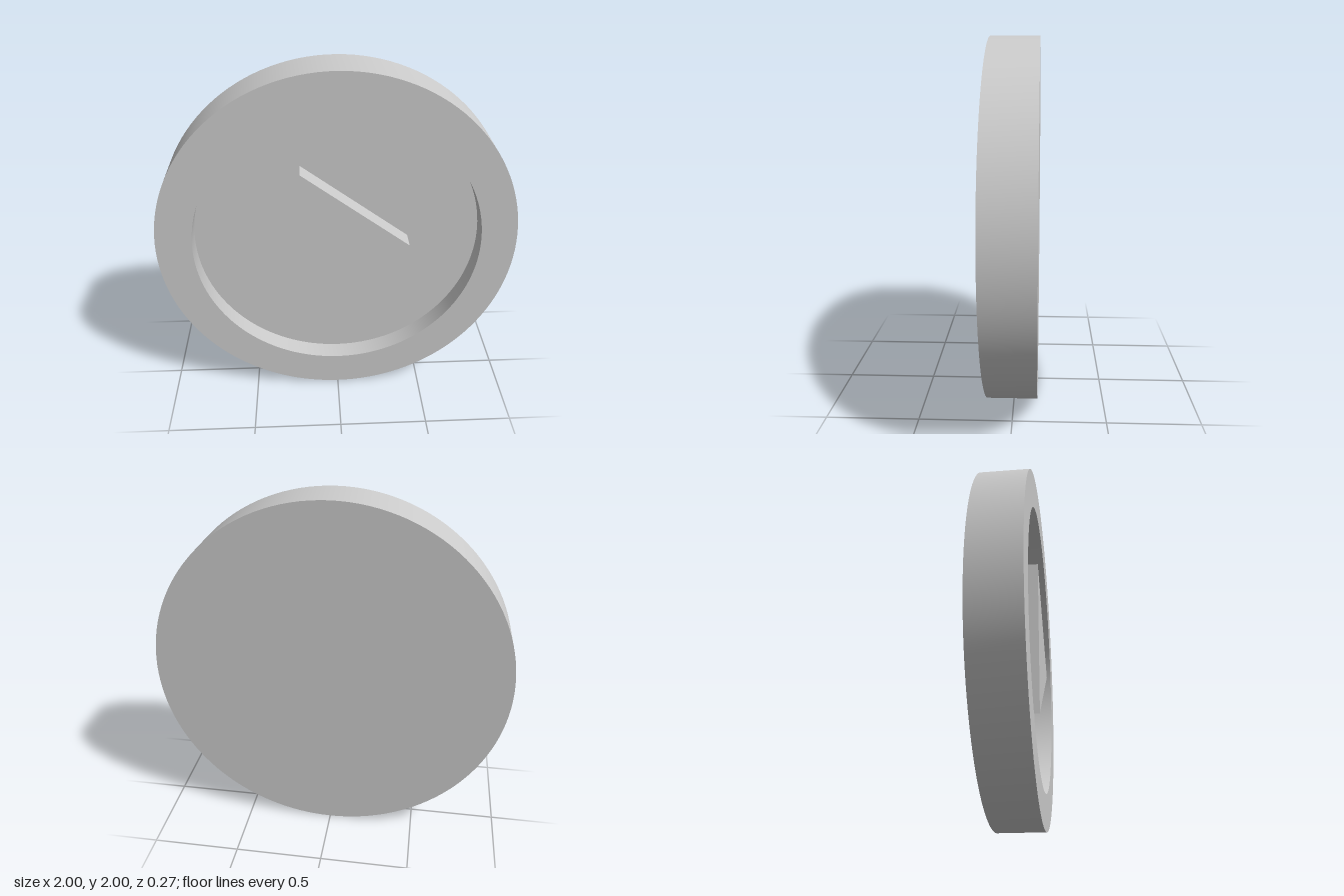
import * as THREE from 'three';
import { toCreasedNormals } from 'three/addons/utils/BufferGeometryUtils.js';

const HALF = 0.133;    // half the thickness of the disc
const RECESS = 0.112;  // depth of the round recess
const FLOOR = HALF - RECESS;

export function createModel() {
  const model = new THREE.Group();
  model.name = 'playButton';
  const grey = new THREE.MeshStandardMaterial({ color: 0xcccccc });

  // Round dish: flat back, outer wall, raised rim, recess wall and floor
  const profile = [
    [0, -HALF], [1, -HALF], [1, HALF], [0.8, HALF], [0.8, FLOOR], [0, FLOOR],
  ].map(([r, h]) => new THREE.Vector2(r, h));
  const dishGeometry = toCreasedNormals(new THREE.LatheGeometry(profile, 128), 0.6);
  dishGeometry.rotateX(Math.PI / 2);
  const dish = new THREE.Mesh(dishGeometry, grey);
  dish.name = 'rimmedDisc';
  dish.position.y = 1;
  model.add(dish);

  // Raised triangle, flush with the rim
  const outline = new THREE.Shape();
  outline.moveTo(-0.2, -0.45);
  outline.lineTo(0.4, 0);
  outline.lineTo(-0.2, 0.45);
  outline.closePath();
  const triangle = new THREE.Mesh(
    new THREE.ExtrudeGeometry(outline, { depth: RECESS, bevelEnabled: false }), grey);
  triangle.name = 'playTriangle';
  triangle.position.set(0, 1, FLOOR);
  model.add(triangle);

  return model;
}
